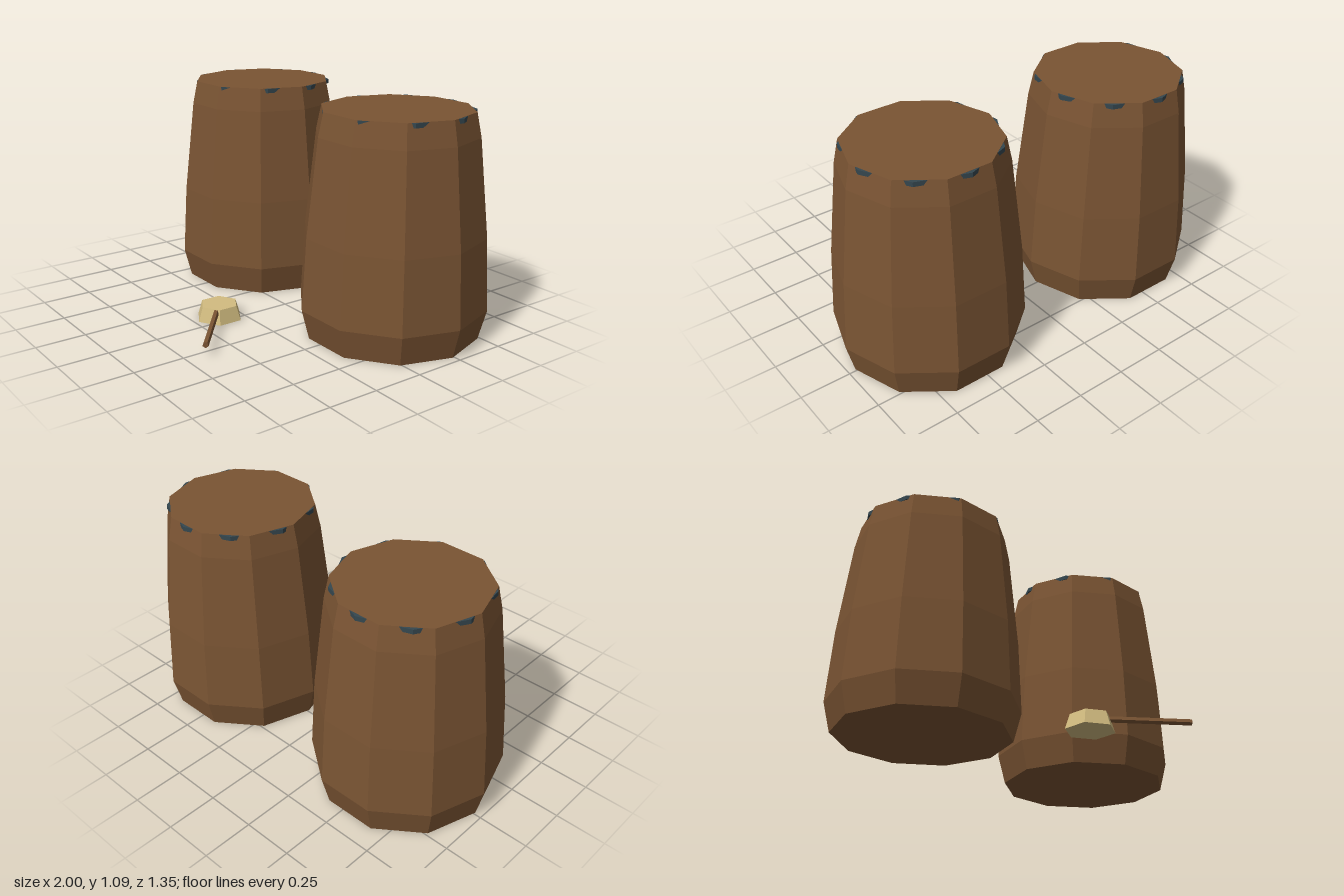
import * as THREE from 'three';

const paint = (color) => new THREE.MeshStandardMaterial({ color, flatShading: true });

function part(name, geometry, material, parent) {
  const mesh = new THREE.Mesh(geometry, material);
  mesh.name = name;
  parent.add(mesh);
  return mesh;
}

export function createModel() {
  const model = new THREE.Group();
  model.name = 'waterBarrels';
  const wood = paint(0x7a5433);
  const water = paint(0x35474f);
  const pale = paint(0xd2bc80);

  // Ten-sided closed barrel, widest near the foot
  const profile = [
    [0, 0], [0.42, 0], [0.457, 0.145], [0.437, 0.5], [0.385, 0.97], [0.361, 1.085], [0, 1.085],
  ].map(([r, y]) => new THREE.Vector2(r, y));
  const barrelGeometry = new THREE.LatheGeometry(profile, 10, Math.PI / 2);

  // Nine-sided water disc whose corners poke through the rim
  const waterGeometry = new THREE.CylinderGeometry(0.361, 0.361, 0.022, 9, 1, false, Math.PI);

  for (const side of [-1, 1]) {
    const group = new THREE.Group();
    group.name = side > 0 ? 'leftBarrel' : 'rightBarrel';
    group.position.set(side * 0.543, 0, -0.24);
    part('barrelBody', barrelGeometry, wood, group);
    part('water', waterGeometry, water, group).position.y = 1.073;
    model.add(group);
  }

  // Ladle lying on the ground: hexagonal bowl and thin handle
  const ladle = new THREE.Group();
  ladle.name = 'ladle';
  const bowl = part('ladleBowl', new THREE.CylinderGeometry(0.096, 0.119, 0.072, 6), pale, ladle);
  bowl.position.set(-0.063, 0.036, 0.361);

  const start = new THREE.Vector3(-0.01, 0.057, 0.41);
  const end = new THREE.Vector3(0.296, 0.057, 0.66);
  const handleGeometry = new THREE.CylinderGeometry(0.015, 0.015, start.distanceTo(end), 5);
  handleGeometry.rotateX(Math.PI / 2);
  const handle = part('ladleHandle', handleGeometry, wood, ladle);
  handle.position.copy(start).lerp(end, 0.5);
  handle.lookAt(end);
  model.add(ladle);

  return model;
}
